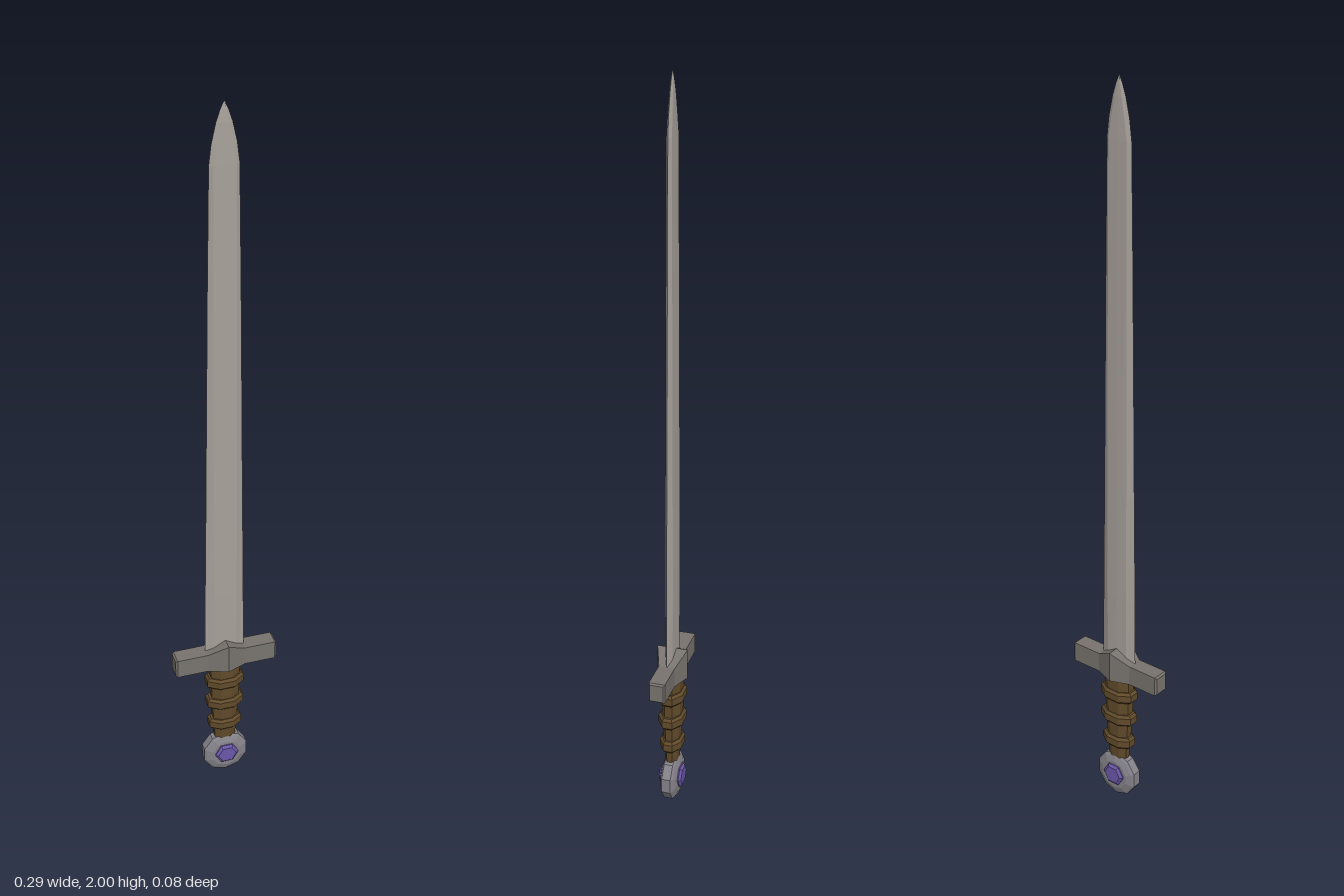
import * as THREE from 'three';

const mat = (name, color) => {
  const m = new THREE.MeshStandardMaterial({ color });
  m.name = name;
  return m;
};

// Faceted skin over rings of [x, y, z] points, capped at both ends
function loft(rings) {
  const n = rings[0].length, pos = [];
  const tri = (...pts) => pts.forEach((p) => pos.push(...p));
  const middle = (ring) => [0, 1, 2].map((k) => ring.reduce((s, p) => s + p[k], 0) / n);
  const first = rings[0], last = rings[rings.length - 1];
  const c0 = middle(first), c1 = middle(last);
  for (let i = 0; i < n; i++) {
    const j = (i + 1) % n;
    for (let r = 0; r < rings.length - 1; r++) {
      const a = rings[r], b = rings[r + 1];
      tri(a[i], b[i], a[j]);
      tri(a[j], b[i], b[j]);
    }
    tri(c0, first[i], first[j]);
    tri(c1, last[j], last[i]);
  }
  const g = new THREE.BufferGeometry();
  g.setAttribute('position', new THREE.Float32BufferAttribute(pos, 3));
  g.computeVertexNormals();
  return g;
}

// Horizontal eight-sided ring with half width rx and half depth rz
const gripRing = (y, rx, rz) => Array.from({ length: 8 }, (_, i) => {
  const a = (i + 0.5) * Math.PI / 4, k = 1 / Math.cos(Math.PI / 8);
  return [rx * k * Math.cos(a), y, rz * k * Math.sin(a)];
});

// Upright ring facing z, used for the pommel and gem
const discRing = (z, r, sides, cy, turn = 0) => Array.from({ length: sides }, (_, i) => {
  const a = turn - i * Math.PI * 2 / sides;
  return [r * Math.cos(a), cy + r * Math.sin(a), z];
});

export function createModel() {
  const sword = new THREE.Group();
  sword.name = 'sword';
  const steel = mat('blade steel', 0xa8a19b);
  const iron = mat('guard iron', 0x78736e);
  const leather = mat('grip leather', 0x614b2b);
  const silver = mat('pommel metal', 0x85838a);
  const violet = mat('violet gem', 0x6a57a8);
  const add = (name, geometry, material) => {
    const mesh = new THREE.Mesh(geometry, material);
    mesh.name = name;
    sword.add(mesh);
  };

  // Blade: bevelled edges, slim flats, curved point; [y, half width, flat half width, half depth]
  const blade = [
    [0.42, 0.055, 0.031, 0.009], [0.63, 0.053, 0.031, 0.011], [0.93, 0.049, 0.031, 0.01],
    [1.52, 0.042, 0.029, 0.008], [1.85, 0.037, 0.027, 0.007], [1.9, 0.031, 0.02, 0.006],
    [1.95, 0.02, 0.011, 0.005], [1.98, 0.01, 0.005, 0.003], [2, 0.001, 0.0005, 0.0005],
  ].map(([y, w, f, t]) => [
    [w, y, 0], [f, y, t], [0, y, t * 1.1], [-f, y, t],
    [-w, y, 0], [-f, y, -t], [0, y, -t * 1.1], [f, y, -t],
  ]);
  add('blade', loft(blade), steel);

  // Crossguard: square arms swelling to a ridge; [x, bottom, top, half depth]
  const guard = [
    [-0.143, 0.389, 0.437, 0.018], [-0.138, 0.385, 0.441, 0.022], [-0.052, 0.385, 0.441, 0.022],
    [0, 0.385, 0.472, 0.042],
    [0.052, 0.385, 0.441, 0.022], [0.138, 0.385, 0.441, 0.022], [0.143, 0.389, 0.437, 0.018],
  ].map(([x, b, t, d]) => [[x, t, d], [x, t, -d], [x, b, -d], [x, b, d]]);
  add('crossguard', loft(guard), iron);

  // Tapered grip
  const grip = [
    [0.11, 0.028, 0.016], [0.18, 0.033, 0.021], [0.26, 0.038, 0.025], [0.39, 0.042, 0.027],
  ].map((r) => gripRing(...r));
  add('grip', loft(grip), leather);

  // Raised bands around the grip
  [[0.331, 0.052, 0.034], [0.257, 0.051, 0.033], [0.18, 0.046, 0.03]].forEach(([y, rx, rz], i) => {
    const band = [[-0.017, 0.006], [-0.01, 0], [0.01, 0], [0.017, 0.006]]
      .map(([dy, inset]) => gripRing(y + dy, rx - inset, rz - inset));
    add('gripBand' + (i + 1), loft(band), leather);
  });

  // Round pommel with bevelled faces
  const cy = 0.067;
  const pommel = [[-0.023, 0.042], [-0.017, 0.058], [-0.012, 0.065], [0.012, 0.065], [0.017, 0.058], [0.023, 0.042]]
    .map(([z, r]) => discRing(z, r, 10, cy, Math.PI / 10 + Math.PI / 5));
  pommel.forEach((ring) => ring.forEach((p) => { p[1] = cy + (p[1] - cy) * 1.03; }));
  add('pommel', loft(pommel), silver);

  // Cut gem showing on both faces
  const gem = [[-0.032, 0.026], [-0.026, 0.034], [0.026, 0.034], [0.032, 0.026]]
    .map(([z, r]) => discRing(z, r, 6, cy + 0.003));
  add('gem', loft(gem), violet);

  return sword;
}
